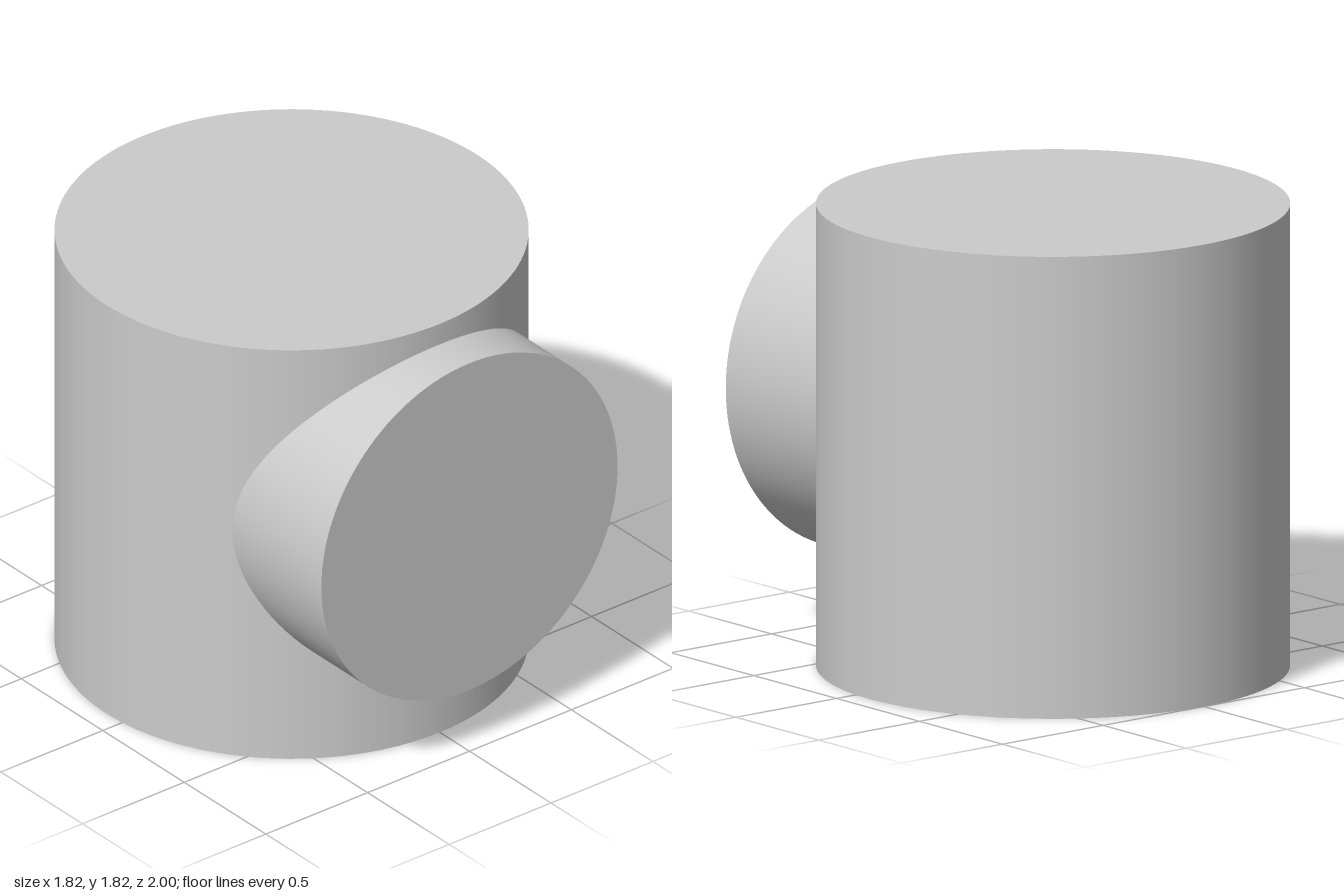
import * as THREE from 'three';

const material = new THREE.MeshStandardMaterial({ color: 0xcccccc });
const AXIS_Z = -0.091; // z of the upright cylinder's axis

function cylinder(name, radius, length) {
  const mesh = new THREE.Mesh(new THREE.CylinderGeometry(radius, radius, length, 128), material);
  mesh.name = name;
  return mesh;
}

export function createModel() {
  const group = new THREE.Group();
  group.name = 'teeJoint';

  // Upright main cylinder
  const body = cylinder('mainCylinder', 0.909, 1.818);
  body.position.set(0, 0.909, AXIS_Z);

  // Horizontal branch, running from inside the main cylinder out to the front
  const length = 0.8;
  const branch = cylinder('branchCylinder', 0.727, length);
  branch.rotation.x = Math.PI / 2;
  branch.position.set(0, 1, 1 - length / 2);

  group.add(body, branch);
  return group;
}
